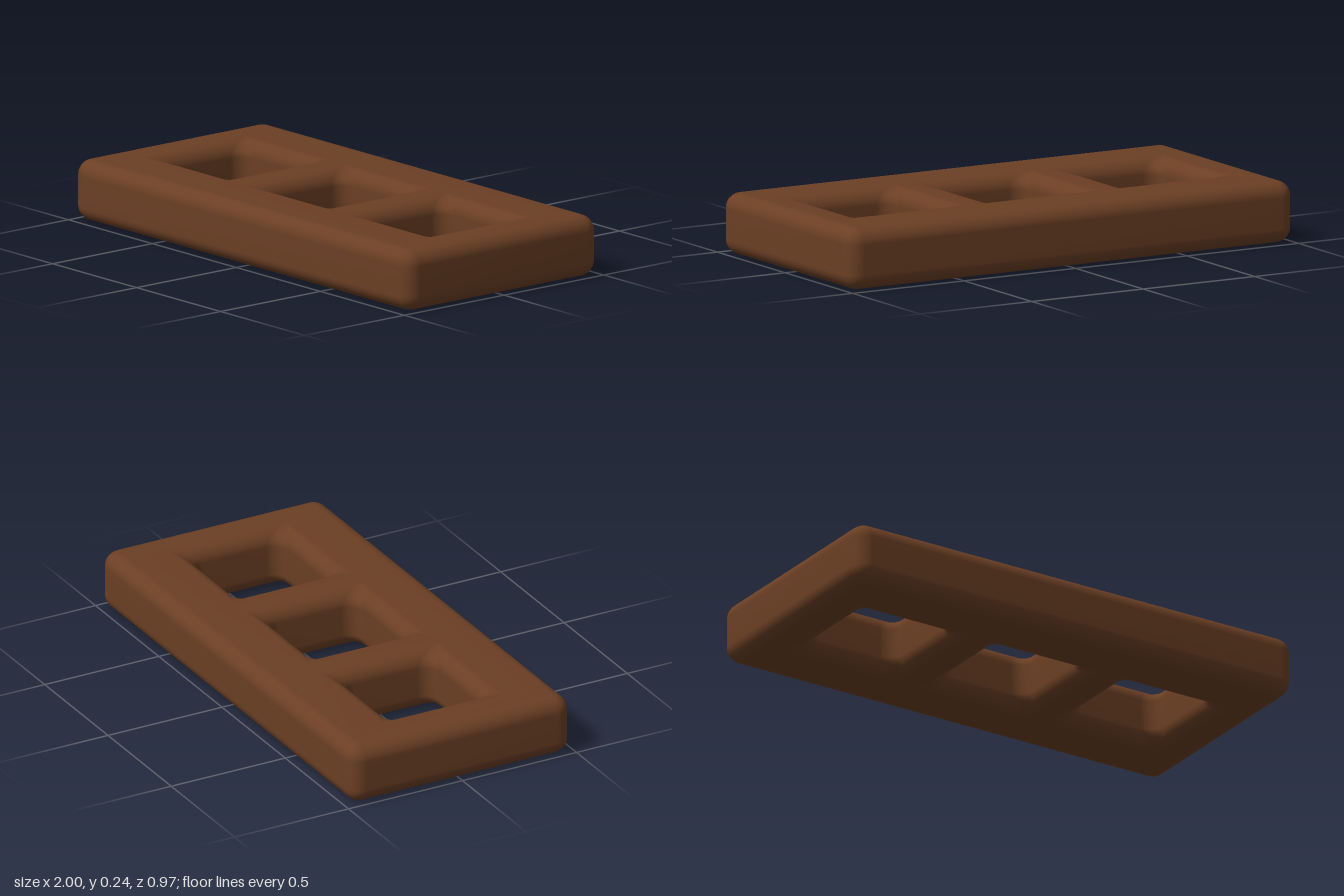
import * as THREE from 'three';

const HEIGHT = 0.24, BEVEL = 0.06, BEVEL_STEPS = 7, CORNER_STEPS = 7;

// Points of a rounded rectangle in the x-z plane
function roundedRect(cx, halfX, halfZ, r) {
  const points = [];
  [[1, 1], [-1, 1], [-1, -1], [1, -1]].forEach(([sx, sz], corner) => {
    for (let i = 0; i <= CORNER_STEPS; i++) {
      const a = (corner + i / CORNER_STEPS) * Math.PI / 2;
      points.push(new THREE.Vector2(
        cx + sx * (halfX - r) + r * Math.cos(a),
        sz * (halfZ - r) + r * Math.sin(a)));
    }
  });
  return points;
}

// Heights and insets of the quarter-round edges, from bottom to top
function edgeProfile() {
  const lower = [];
  for (let i = 0; i <= BEVEL_STEPS; i++) {
    const a = i / BEVEL_STEPS * Math.PI / 2;
    lower.push({ y: BEVEL * (1 - Math.cos(a)), inset: BEVEL * (1 - Math.sin(a)) });
  }
  const upper = lower.map(p => ({ y: HEIGHT - p.y, inset: p.inset })).reverse();
  return [...lower, ...upper];
}

function slabGeometry() {
  const profile = edgeProfile();
  const positions = [], indices = [], loops = [];

  // Rounded wall around the rim (sign 1) or around an opening (sign -1)
  function addWall(cx, halfX, halfZ, sign) {
    const start = positions.length / 3;
    const rings = profile.map(({ y, inset }) => {
      const ring = roundedRect(cx, halfX - sign * inset, halfZ - sign * inset, BEVEL - inset + 0.004);
      ring.forEach(p => positions.push(p.x, y, p.y));
      return ring;
    });
    const n = rings[0].length;
    for (let k = 0; k < rings.length - 1; k++) {
      for (let i = 0; i < n; i++) {
        const a = start + k * n + i, b = start + k * n + (i + 1) % n;
        if (sign > 0) indices.push(a, a + n, b, b, a + n, b + n);
        else indices.push(a, b, a + n, b, b + n, a + n);
      }
    }
    loops.push({ ring: rings[0], bottom: start, top: start + (rings.length - 1) * n });
  }

  addWall(0, 1, 0.485, 1);
  [-0.592, 0.008, 0.602].forEach(cx => addWall(cx, 0.2, 0.203, -1));

  // Flat top and underside, sharing the wall vertices
  const faces = THREE.ShapeUtils.triangulateShape(loops[0].ring, loops.slice(1).map(l => l.ring));
  const ids = side => loops.flatMap(l => l.ring.map((_, i) => l[side] + i));
  const bottom = ids('bottom'), top = ids('top');
  faces.forEach(([a, b, c]) => {
    indices.push(bottom[a], bottom[b], bottom[c], top[a], top[c], top[b]);
  });

  const geometry = new THREE.BufferGeometry();
  geometry.setAttribute('position', new THREE.Float32BufferAttribute(positions, 3));
  geometry.setIndex(indices);
  geometry.computeVertexNormals();
  return geometry;
}

export function createModel() {
  const brown = new THREE.MeshStandardMaterial({ color: 0x6b3f24 });
  brown.name = 'brown';
  const slab = new THREE.Mesh(slabGeometry(), brown);
  slab.name = 'slabWithThreeOpenings';
  const model = new THREE.Group();
  model.name = 'threeHoleBlock';
  model.add(slab);
  return model;
}
